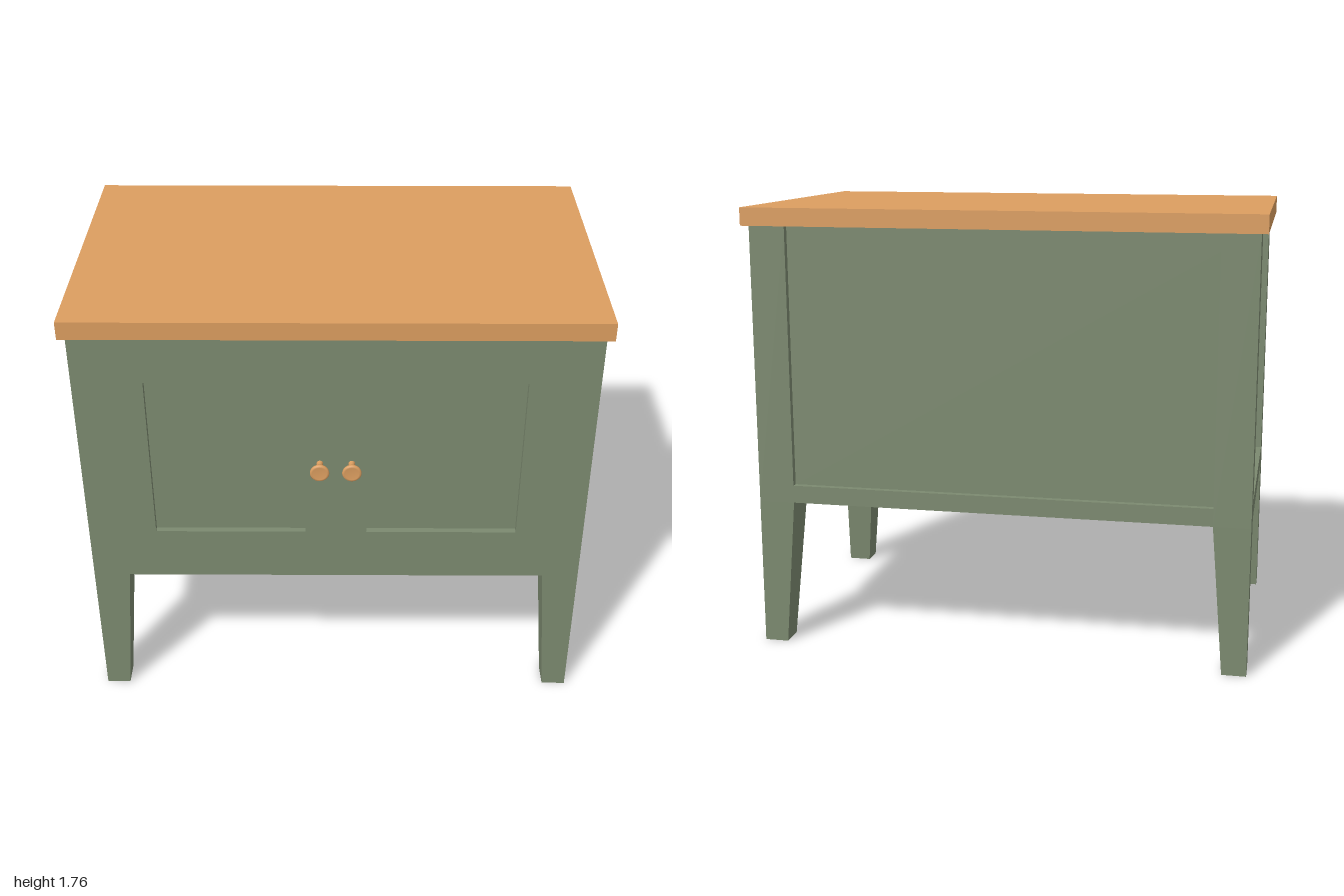
import * as THREE from 'three';

export function createModel() {
  const group = new THREE.Group();
  group.name = 'cabinet';
  const paint = new THREE.MeshStandardMaterial({ color: 0x7c8a70, flatShading: true });
  const wood = new THREE.MeshStandardMaterial({ color: 0xdc9e60, flatShading: true });
  const knobWood = new THREE.MeshStandardMaterial({ color: 0xdc9e60 });

  const X = 0.975, FRONT = 0.563, BACK = -0.608; // outer body faces
  const FLOOR = 0.59, TOP = 1.69, RAIL = 0.66;   // body heights
  const INSET = 0.025;                           // panel recess depth
  const postX = 0.832, postFront = 0.42, postBack = -0.46; // inner post edges

  function add(name, geometry, material) {
    const mesh = new THREE.Mesh(geometry, material);
    mesh.name = name;
    group.add(mesh);
    return mesh;
  }
  // box from its minimum and maximum corners
  function box(name, x0, x1, y0, y1, z0, z1, material = paint) {
    const g = new THREE.BoxGeometry(x1 - x0, y1 - y0, z1 - z0);
    g.translate((x0 + x1) / 2, (y0 + y1) / 2, (z0 + z1) / 2);
    return add(name, g, material);
  }

  // overhanging top and recessed carcass
  box('tableTop', -1, 1, TOP, 1.76, -0.633, 0.588, wood);
  box('carcass', -X + INSET, X - INSET, FLOOR, TOP, BACK + INSET, FRONT - INSET);

  // front face with two recessed door panels
  const face = new THREE.Shape([
    new THREE.Vector2(-postX, FLOOR), new THREE.Vector2(postX, FLOOR),
    new THREE.Vector2(postX, TOP), new THREE.Vector2(-postX, TOP)]);
  for (const s of [-1, 1]) {
    face.holes.push(new THREE.Path([
      new THREE.Vector2(s * 0.12, 0.81), new THREE.Vector2(s * 0.71, 0.81),
      new THREE.Vector2(s * 0.71, 1.495), new THREE.Vector2(s * 0.12, 1.495)]));
  }
  const faceGeometry = new THREE.ExtrudeGeometry(face, { depth: INSET, bevelEnabled: false });
  add('doorFrame', faceGeometry.translate(0, 0, FRONT - INSET), paint);

  // bottom rails of the back and side panels
  box('backRail', -postX, postX, FLOOR, RAIL, BACK, BACK + INSET);
  box('leftRail', X - INSET, X, FLOOR, RAIL, postBack, postFront);
  box('rightRail', -X, -X + INSET, FLOOR, RAIL, postBack, postFront);

  // corner posts: straight beside the body, tapering on the inner faces below it
  function post(name, sx, outerZ, innerZ) {
    const g = new THREE.BoxGeometry(1, 1, 1, 1, 2, 1);
    const p = g.attributes.position;
    const sz = Math.sign(outerZ);
    for (let i = 0; i < p.count; i++) {
      const foot = p.getY(i) < -0.25;
      const outX = p.getX(i) * sx > 0, outZ = p.getZ(i) * sz > 0;
      const y = foot ? 0 : p.getY(i) > 0.25 ? TOP : FLOOR;
      const x = outX ? X : foot ? 0.88 : postX;
      const z = outZ ? outerZ : foot ? outerZ - sz * 0.096 : innerZ;
      p.setXYZ(i, sx * x, y, z);
    }
    g.computeVertexNormals();
    add(name, g, paint);
  }
  for (const [side, s] of [['Left', 1], ['Right', -1]]) {
    post('front' + side + 'Leg', s, FRONT, postFront);
    post('back' + side + 'Leg', s, BACK, postBack);
  }

  // flared round knobs
  const profile = [[0.013, 0], [0.011, 0.014], [0.013, 0.028], [0.019, 0.042], [0.029, 0.053],
    [0.036, 0.059], [0.037, 0.064], [0.034, 0.069], [0.027, 0.07], [0.024, 0.068], [0, 0.068]]
    .map(([r, y]) => new THREE.Vector2(r, y));
  for (const [side, s] of [['left', 1], ['right', -1]]) {
    const knob = add(side + 'Knob', new THREE.LatheGeometry(profile, 24), knobWood);
    knob.rotation.x = Math.PI / 2;
    knob.position.set(s * 0.061, 1.138, FRONT);
  }
  return group;
}
